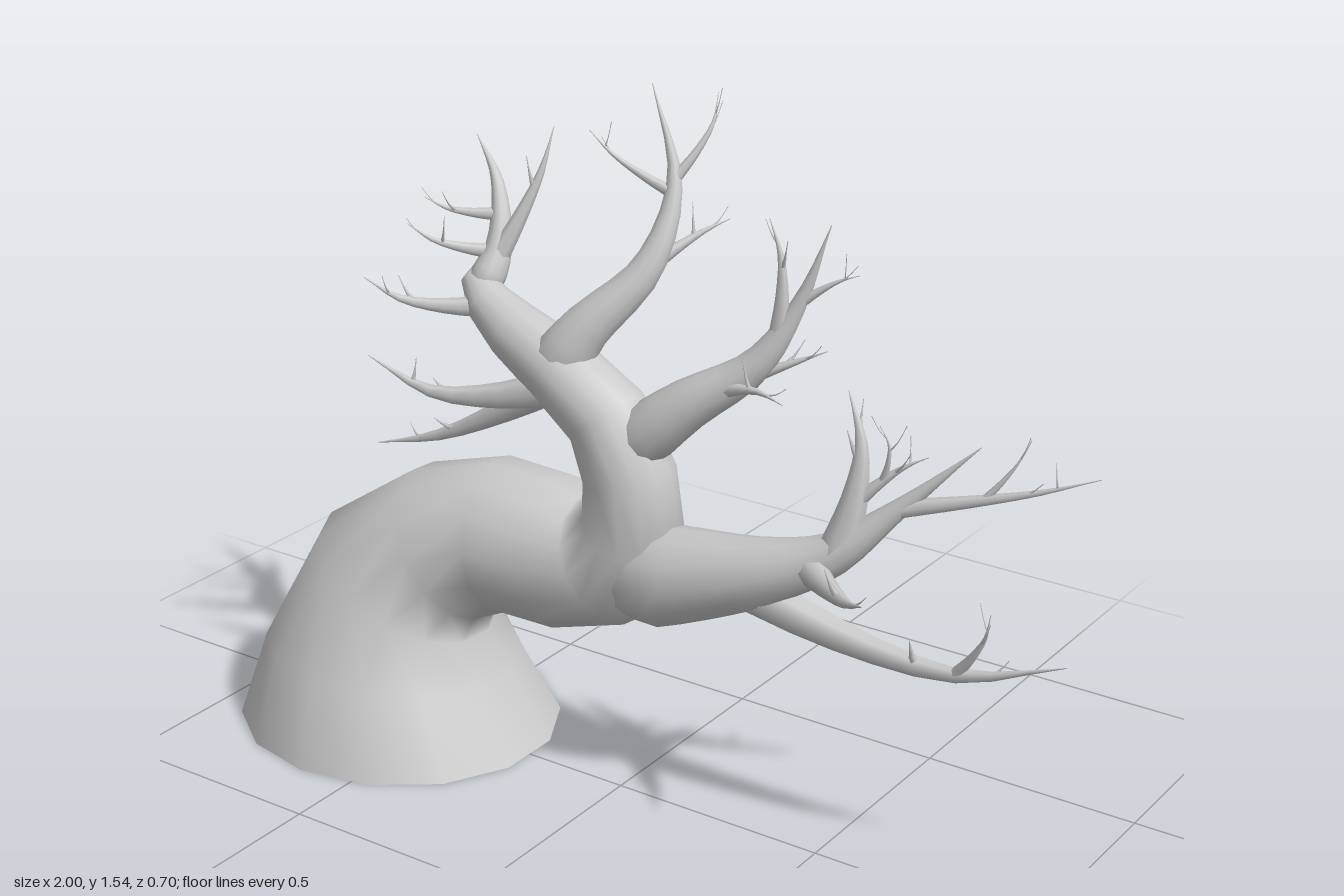
import * as THREE from 'three';

const material = new THREE.MeshStandardMaterial({ color: 0xcccccc, side: THREE.DoubleSide });

// Tapered tube along a curve, with parallel-transported rings
function limbGeometry(curve, radiusAt, sides, rings) {
  const positions = [], index = [];
  const normal = new THREE.Vector3(0, 0, 1), binormal = new THREE.Vector3(), v = new THREE.Vector3();
  for (let i = 0; i <= rings; i++) {
    const t = i / rings, centre = curve.getPoint(t), tangent = curve.getTangent(t);
    normal.addScaledVector(tangent, -normal.dot(tangent)).normalize();
    binormal.crossVectors(tangent, normal);
    for (let j = 0; j < sides; j++) {
      const a = j / sides * Math.PI * 2;
      v.copy(centre).addScaledVector(normal, Math.cos(a) * radiusAt(t)).addScaledVector(binormal, Math.sin(a) * radiusAt(t));
      positions.push(v.x, v.y, v.z);
      if (i < rings) {
        const n = (j + 1) % sides, p = i * sides;
        index.push(p + j, p + n, p + sides + j, p + n, p + sides + n, p + sides + j);
      }
    }
  }
  const geometry = new THREE.BufferGeometry();
  geometry.setAttribute('position', new THREE.Float32BufferAttribute(positions, 3));
  geometry.setIndex(index);
  geometry.computeVertexNormals();
  return geometry;
}

export function createModel() {
  const group = new THREE.Group();

  function limb(name, points, radiusAt, sides, rings) {
    const curve = new THREE.CatmullRomCurve3(points);
    const mesh = new THREE.Mesh(limbGeometry(curve, radiusAt, sides, rings), material);
    mesh.name = name;
    group.add(mesh);
    return { mesh, curve, radiusAt };
  }
  const taper = root => t => Math.max(0.0008, root * Math.pow(1 - t, 1.1));
  // Boughs swell out of the trunk before they taper
  const bough = (name, root, ...points) => limb(name, points.map(p => new THREE.Vector3(...p)),
    t => taper(root)(t) * Math.min(1, 0.6 + 4 * t), 12, points.length * 3);

  // Little sprouts alternating sides near a branch tip
  let turn = 0;
  function sprouts({ curve, radiusAt }) {
    for (const t of [0.55, 0.76]) {
      turn += 2.5;
      const from = curve.getPoint(t), size = 0.09 - t * 0.055;
      const out = new THREE.Vector3(Math.cos(turn), 0.5, Math.sin(turn) * 0.5)
        .addScaledVector(curve.getTangent(t), 0.8).normalize();
      const tip = from.clone().addScaledVector(out, size);
      tip.y += size * 0.25;
      limb('sprout', [from, from.clone().addScaledVector(out, size * 0.5), tip], taper(radiusAt(t) * 0.65), 5, 4);
    }
  }

  // Branch from a point on its parent to a tip, bowed sideways by a share of its length
  function fork(name, parent, t, tip, bend, share = 0.75) {
    const start = parent.curve.getPoint(t), end = new THREE.Vector3(...tip);
    const side = new THREE.Vector3(start.y - end.y, end.x - start.x, 0).multiplyScalar(bend);
    const points = [start,
      start.clone().lerp(end, 0.35).addScaledVector(side, 0.8),
      start.clone().lerp(end, 0.7).add(side), end];
    const branch = limb(name, points, taper(parent.radiusAt(t) * share), 7, 9);
    sprouts(branch);
    return branch;
  }

  // Leaning trunk and upper bend: x, y, z, radius
  const stations = [
    [-0.63, 0, 0, 0.37], [-0.635, 0.18, 0, 0.295], [-0.595, 0.36, -0.01, 0.225],
    [-0.48, 0.46, -0.03, 0.185], [-0.34, 0.505, -0.045, 0.175], [-0.19, 0.5, -0.05, 0.17],
    [-0.06, 0.52, -0.045, 0.147], [0.01, 0.61, -0.035, 0.114], [0.005, 0.74, -0.025, 0.102],
    [-0.05, 0.86, -0.02, 0.093], [-0.17, 0.94, -0.02, 0.082], [-0.3, 0.99, -0.04, 0.067],
    [-0.39, 1.03, -0.065, 0.052], [-0.44, 1.075, -0.085, 0.034], [-0.45, 1.1, -0.095, 0.003],
  ];
  const spans = stations.length - 1, trunkSides = 14;
  const trunk = limb('trunk', stations.map(([x, y, z]) => new THREE.Vector3(x, y, z)), t => {
    const k = Math.min(Math.floor(t * spans), spans - 1);
    return THREE.MathUtils.lerp(stations[k][3], stations[k + 1][3], t * spans - k);
  }, trunkSides, spans);
  // Flat, slightly oval open foot
  const foot = trunk.mesh.geometry.attributes.position;
  for (let j = 0; j < trunkSides; j++) {
    const a = j / trunkSides * Math.PI * 2;
    foot.setXYZ(j, -0.625 + Math.sin(a) * 0.383, 0, Math.cos(a) * 0.352);
  }

  // Side bough and its branches
  const side = bough('sideBough', 0.128, [-0.03, 0.495, -0.035], [0.18, 0.55, -0.03], [0.34, 0.6, -0.035],
    [0.48, 0.665, -0.06], [0.6, 0.775, -0.1], [0.76, 0.935, -0.15]);
  const low = fork('lowBranch', side, 0.28, [1, 0.545, -0.09], -0.11, 0.6);
  fork('lowFork', low, 0.66, [0.85, 0.635, -0.05], -0.08, 0.85);
  const outer = fork('outerBranch', side, 0.81, [1, 0.91, -0.19], -0.02, 1);
  fork('outerFork', outer, 0.4, [0.85, 0.955, -0.17], -0.05);
  fork('frontBranch', side, 0.52, [0.68, 0.69, 0.165], -0.08, 0.65);
  const upright = fork('uprightBranch', side, 0.62, [0.485, 1.01, -0.1], -0.11, 1);
  const uprightFork = fork('uprightFork', upright, 0.3, [0.66, 0.9, -0.12], 0.05, 0.6);
  fork('uprightFork', uprightFork, 0.4, [0.57, 0.96, -0.08], -0.15, 0.85);

  // Top bough
  const top = bough('topBough', 0.076, [-0.19, 0.92, -0.01], [-0.12, 1.03, -0.03], [-0.01, 1.17, -0.11],
    [0.01, 1.34, -0.18], [-0.06, 1.535, -0.2]);
  fork('topFork', top, 0.76, [0.05, 1.515, -0.28], -0.12, 0.85);
  fork('topFork', top, 0.72, [-0.17, 1.435, -0.13], 0.06);
  fork('topFork', top, 0.5, [0.11, 1.265, -0.24], 0.04, 0.55);

  // Middle bough
  const middle = bough('middleBough', 0.076, [-0.02, 0.78, -0.02], [0.13, 0.915, -0.045], [0.27, 1.02, -0.09],
    [0.35, 1.16, -0.125], [0.41, 1.33, -0.14]);
  fork('middleFork', middle, 0.62, [0.285, 1.33, -0.11], -0.08, 0.85);
  fork('middleFork', middle, 0.75, [0.465, 1.23, -0.16], 0.05);
  fork('middleFork', middle, 0.38, [0.41, 1.065, -0.14], 0, 0.5);
  fork('middleFork', middle, 0.33, [0.38, 0.98, -0.02], 0.1, 0.45);

  // End bough on the tip of the upper bend
  const end = bough('endBough', 0.046, [-0.42, 1.05, -0.075], [-0.405, 1.14, -0.12], [-0.44, 1.27, -0.165],
    [-0.52, 1.355, -0.2]);
  fork('endFork', end, 0.2, [-0.32, 1.4, -0.21], -0.05);
  fork('endFork', end, 0.5, [-0.55, 1.245, -0.05], 0.1);
  fork('endFork', end, 0.3, [-0.55, 1.2, 0.01], 0.12, 0.6);

  // Branches straight off the upper bend
  fork('leftBranch', trunk, 0.85, [-0.61, 1.09, 0.09], 0.13, 0.5);
  fork('leftBranch', trunk, 0.69, [-0.61, 0.91, 0.085], 0.13, 0.55);
  fork('leftBranch', trunk, 0.7, [-0.64, 0.68, 0.03], 0.05, 0.5);
  return group;
}
